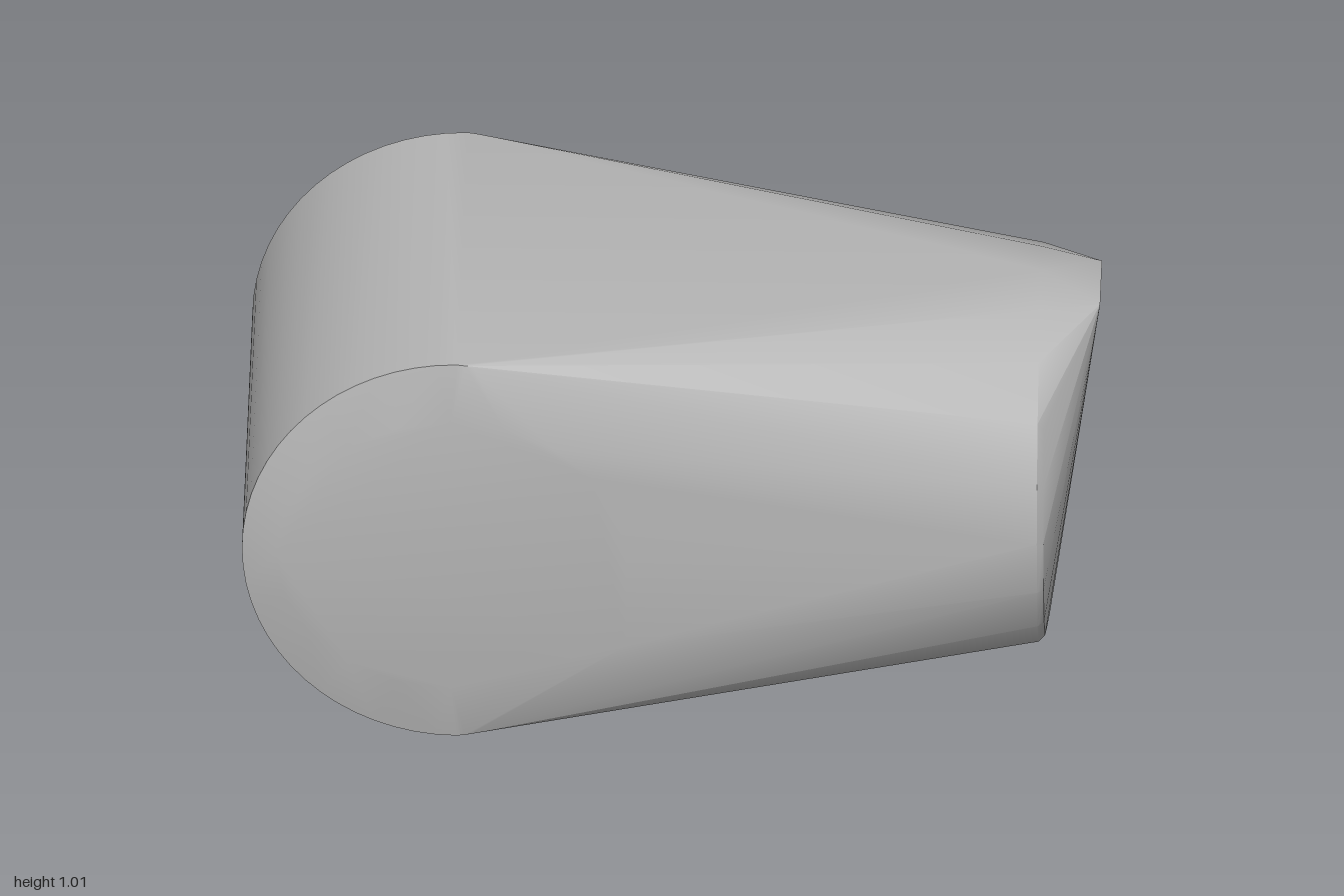
import * as THREE from 'three';
import { ConvexGeometry } from 'three/addons/geometries/ConvexGeometry.js';
import { toCreasedNormals } from 'three/addons/utils/BufferGeometryUtils.js';

export function createModel() {
  const group = new THREE.Group();
  const grey = new THREE.MeshStandardMaterial({ color: 0xb4b4b4 });
  grey.name = 'plain grey';

  const points = [];
  const add = (x, y, z) => points.push(new THREE.Vector3(x, y, z));
  const addBoth = (x, y, z) => { add(x, y, z); add(x, y, -z); };

  // Rounded back end: a cylinder lying along z, with shallow domed sides
  const rim = 64;
  for (let i = 0; i < rim; i++) {
    const a = (i / rim) * Math.PI * 2;
    addBoth(-0.497 + 0.503 * Math.cos(a) * (Math.cos(a) > 0 ? 0.4 : 1), 0.508 + 0.504 * Math.sin(a), 0.535);
  }
  const dome = 20;
  for (let i = 0; i < dome; i++) {
    const a = (i / dome) * Math.PI * 2;
    addBoth(-0.51 + 0.41 * Math.cos(a), 0.51 + 0.36 * Math.sin(a), 0.563);
  }
  addBoth(-0.1, 0.27, 0.563);

  // Nose: a round rim, whose top edge is drawn out to a short lip
  const nose = 20;
  for (let i = 0; i < nose; i++) {
    const a = (i / nose) * Math.PI * 2;
    const c = Math.cos(a), s = Math.sin(a);
    add(0.86, 0.505 + 0.468 * s, 0.474 * c);
    if (s < 0.72) add(0.875, 0.5 + 0.445 * s, 0.462 * c);
  }
  add(0.88, 0.04, 0);
  addBoth(1, 0.94, 0.1);

  // One skin wraps both ends; broad curves stay smooth, edges stay sharp
  const body = new THREE.Mesh(toCreasedNormals(new ConvexGeometry(points), 0.55), grey);
  body.name = 'body';
  group.add(body);
  return group;
}
